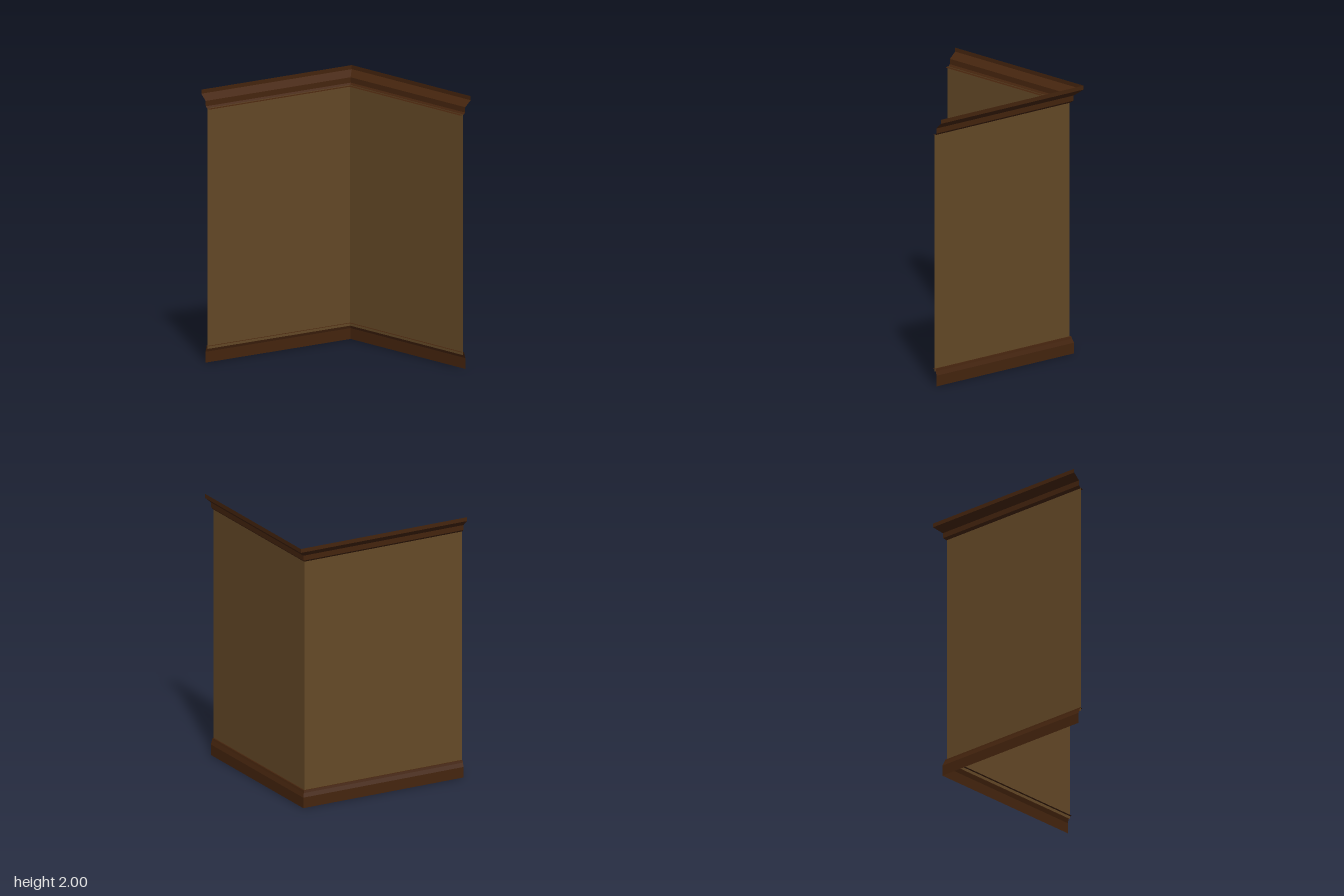
import * as THREE from 'three';

const END = 0.69; // how far each leg runs from the centre

// Sweeps a [distance, height] profile along an L with a mitred corner, as a thin open sheet
function sweepCorner(profile) {
  const pos = [];
  const path = (d) => [[-END, -d], [d, -d], [d, END]];
  for (let i = 0; i < profile.length - 1; i++) {
    const [d0, y0] = profile[i];
    const [d1, y1] = profile[i + 1];
    const low = path(d0), high = path(d1);
    for (let leg = 0; leg < 2; leg++) {
      const a = [low[leg][0], y0, low[leg][1]];
      const b = [low[leg + 1][0], y0, low[leg + 1][1]];
      const c = [high[leg + 1][0], y1, high[leg + 1][1]];
      const d = [high[leg][0], y1, high[leg][1]];
      pos.push(...a, ...d, ...c, ...a, ...c, ...b);
    }
  }
  const g = new THREE.BufferGeometry();
  g.setAttribute('position', new THREE.Float32BufferAttribute(pos, 3));
  g.computeVertexNormals(); // unshared corners keep every facet flat
  return g;
}

export function createModel() {
  const group = new THREE.Group();
  group.name = 'cornerWall';

  const panel = new THREE.MeshStandardMaterial({ color: 0x664a27, side: THREE.DoubleSide });
  panel.name = 'tan panel';
  const wood = new THREE.MeshStandardMaterial({ color: 0x46250e, side: THREE.DoubleSide });
  wood.name = 'dark wood';

  const add = (name, profile, material) => {
    const mesh = new THREE.Mesh(sweepCorner(profile), material);
    mesh.name = name;
    group.add(mesh);
  };

  // Wall sheets
  add('wallPanels', [[0.618, 0.105], [0.618, 1.875]], panel);

  // Skirting with a flat lip tucked through the wall
  add('baseboard', [[0.642, 0], [0.642, 0.08], [0.632, 0.11], [0.628, 0.127], [0.602, 0.127]], wood);

  // Crown moulding flaring outward to the top
  add('crownMoulding', [
    [0.597, 1.868], [0.625, 1.872], [0.638, 1.886],
    [0.64, 1.925], [0.69, 1.97], [0.69, 2],
  ], wood);

  return group;
}
